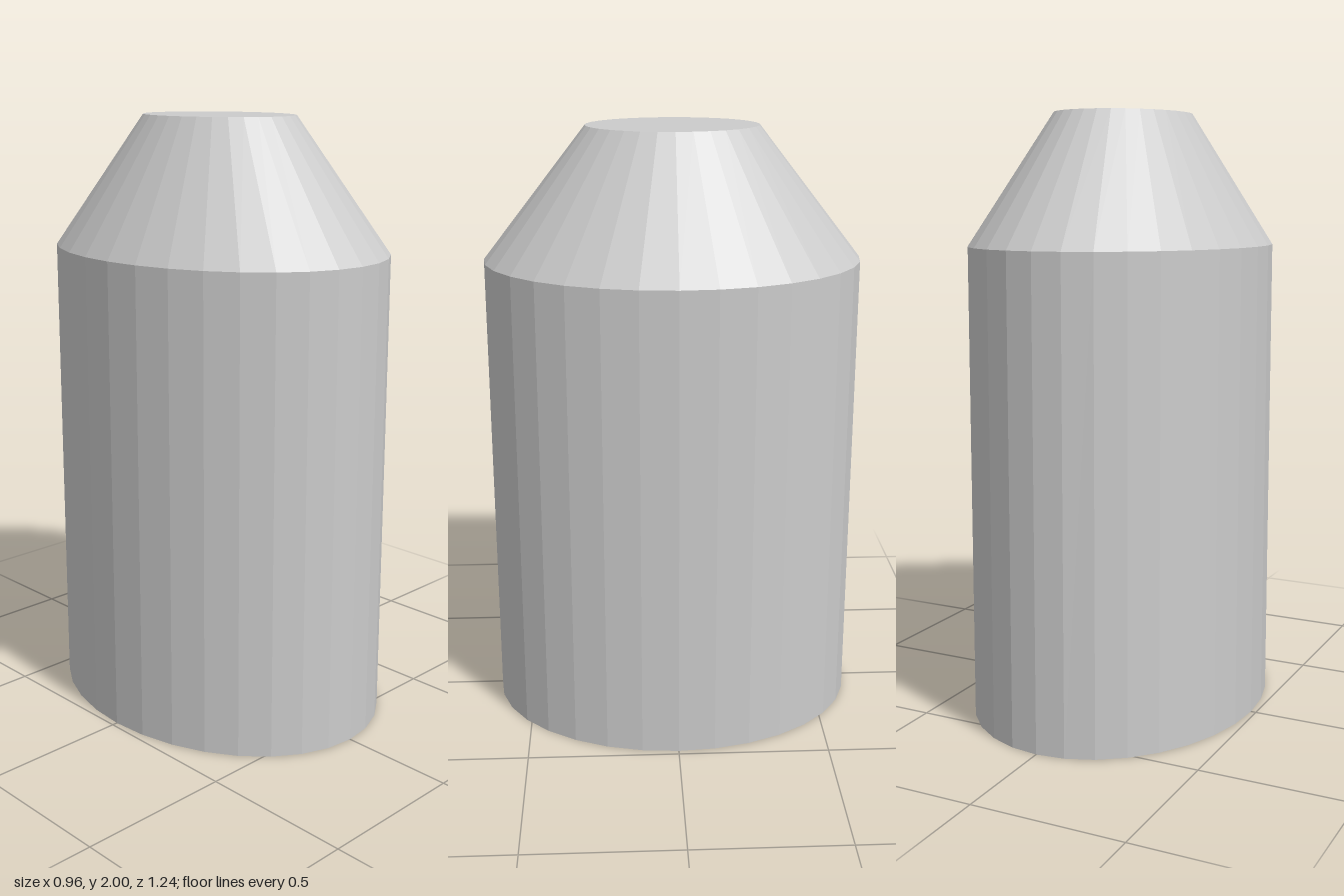
import * as THREE from 'three';

const SIDES = 32;
const DEPTH_RATIO = 0.622 / 0.482; // oval section, longer along z

export function createModel() {
  const group = new THREE.Group();
  const material = new THREE.MeshStandardMaterial({ color: 0xcccccc, flatShading: true });

  // Oval frustum between heights y0 and y1, open at both ends
  const addWall = (name, r0, r1, y0, y1) => {
    const geometry = new THREE.CylinderGeometry(r1, r0, y1 - y0, SIDES, 1, true);
    geometry.scale(1, 1, DEPTH_RATIO);
    geometry.translate(0, (y0 + y1) / 2, 0);
    const mesh = new THREE.Mesh(geometry, material);
    mesh.name = name;
    group.add(mesh);
  };

  // Flat oval end; facing is 1 for up, -1 for down
  const addCap = (name, r, y, facing) => {
    const geometry = new THREE.CircleGeometry(r, SIDES);
    geometry.rotateX(-facing * Math.PI / 2);
    geometry.scale(1, 1, DEPTH_RATIO);
    geometry.translate(0, y, 0);
    const mesh = new THREE.Mesh(geometry, material);
    mesh.name = name;
    group.add(mesh);
  };

  // Body with a very slight taper, then the sloped shoulder
  addWall('body', 0.482, 0.479, 0, 1.57);
  addWall('shoulder', 0.479, 0.217, 1.57, 2);
  addCap('base', 0.482, 0, -1);
  addCap('top', 0.217, 2, 1);

  return group;
}
